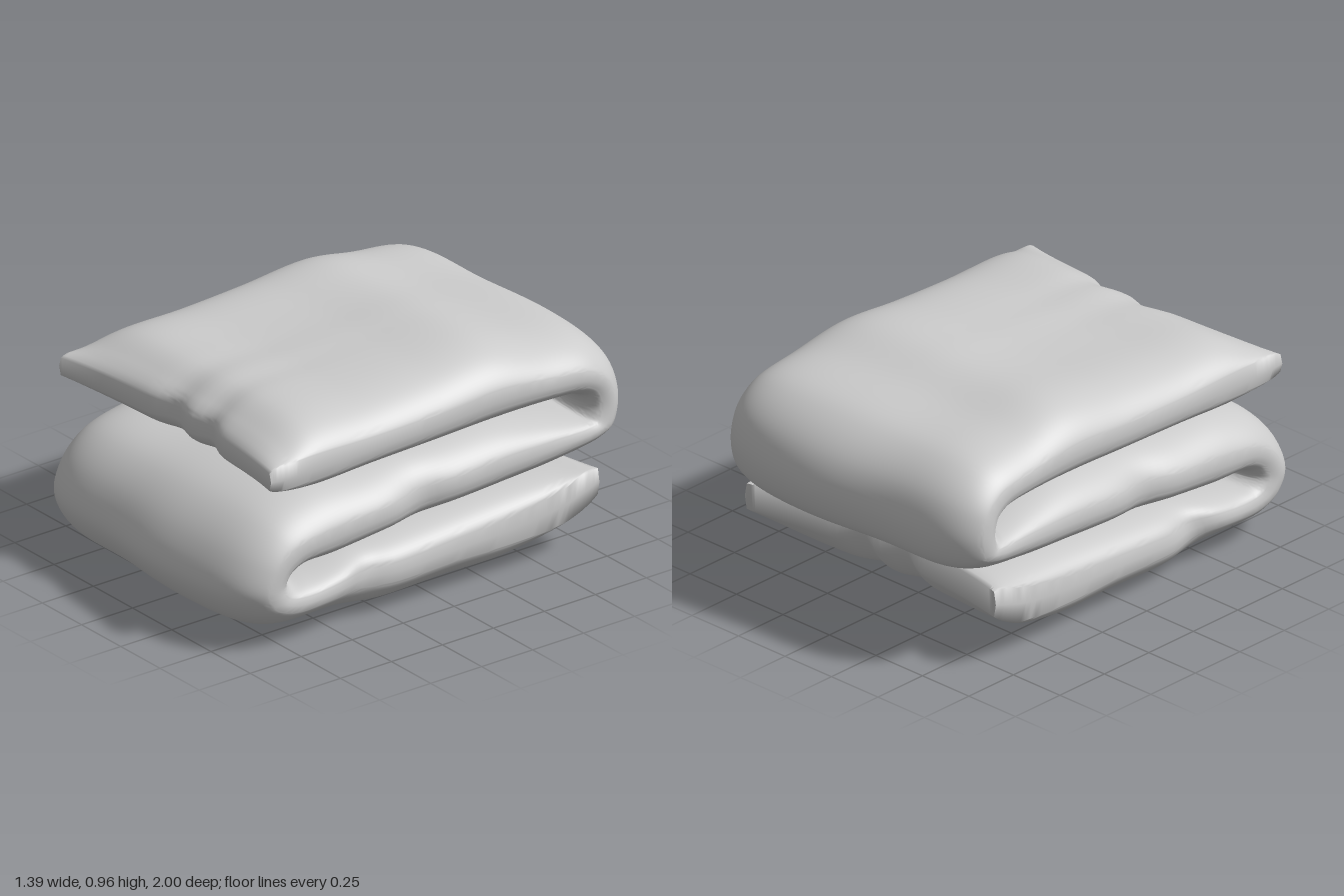
import * as THREE from 'three';
import { toCreasedNormals } from 'three/addons/utils/BufferGeometryUtils.js';

// Stations along the folded quilt: [z, y] of one face, [z, y] of the other face
const STATIONS = [
  // top layer, from its free front hem to the back fold
  [0.84, 0.79, 0.84, 0.70], [0.74, 0.845, 0.74, 0.65], [0.6, 0.905, 0.6, 0.62],
  [0.3, 0.915, 0.3, 0.63], [0, 0.935, 0, 0.637], [-0.3, 0.962, -0.3, 0.645],
  [-0.52, 0.92, -0.55, 0.65], [-0.8, 0.87, -0.68, 0.645],
  // back fold
  [-0.95, 0.75, -0.74, 0.63], [-1, 0.6, -0.76, 0.595], [-0.96, 0.47, -0.74, 0.565],
  [-0.85, 0.41, -0.68, 0.575],
  // middle layer
  [-0.6, 0.37, -0.5, 0.61], [-0.3, 0.355, -0.3, 0.64], [0, 0.345, 0, 0.63],
  [0.25, 0.325, 0.3, 0.61], [0.5, 0.3, 0.6, 0.595], [0.64, 0.305, 0.8, 0.53],
  // front fold
  [0.70, 0.295, 0.94, 0.4], [0.72, 0.275, 1, 0.25], [0.69, 0.255, 0.95, 0.14],
  [0.6, 0.26, 0.83, 0.06],
  // bottom layer, to its free back hem
  [0.4, 0.29, 0.53, 0.04], [0.2, 0.31, 0.25, 0.003], [-0.1, 0.33, -0.05, 0.01],
  [-0.35, 0.345, -0.35, 0.015], [-0.6, 0.355, -0.58, 0.08], [-0.77, 0.355, -0.77, 0.22],
];

const bump = (v, centre, width) => Math.exp(-(((v - centre) / width) ** 2));

function quiltGeometry(steps = 200, across = 56) {
  const face = (c) => new THREE.CatmullRomCurve3(
    STATIONS.map((s) => new THREE.Vector3(0, s[c + 1], s[c])));
  const faceA = face(0), faceB = face(2);
  const positions = [], index = [];
  const ring = 2 * across + 4;

  for (let i = 0; i <= steps; i++) {
    const t = i / steps;
    const a = faceA.getPoint(t), b = faceB.getPoint(t);
    const startHem = Math.exp(-t / 0.04), endHem = Math.exp(-(1 - t) / 0.04);
    const hem = startHem + endHem;
    // the side seam runs nearer the face that lies against another layer
    const turn = THREE.MathUtils.smoothstep(t, 0.38, 0.54);
    const seam = a.clone().lerp(b, 0.5 + (0.1 - 0.2 * turn) * (1 - hem));
    const backFold = bump(t, 0.333, 0.07), frontFold = bump(t, 0.704, 0.07);
    const hemRounding = 0.82 + 0.18 * Math.sqrt(Math.min(1, Math.min(t, 1 - t) / 0.012));
    const halfWidth = 0.665 + 0.012 * Math.sin(Math.PI * t);

    // contact: 0 where the face is exposed, 1 where it lies against another layer
    const add = (u, p, contact, bulge) => {
      const x = u * halfWidth;
      // exposed faces round off towards the sides, touching faces stay flatter
      const side = Math.abs(u);
      const exposed = Math.pow(1 - side ** 6, 0.75), flat = Math.pow(1 - side ** 8, 0.6);
      const puff = (0.22 + 0.78 * THREE.MathUtils.lerp(exposed, flat, contact))
        * (1 - 0.08 * bump(x, -0.2, 0.25) * (1 - contact));
      // hems pull inwards between the corners, with two gathers at the middle
      const inward = 1 - u * u;
      const gather = bump(x, -0.06, 0.08) + bump(x, 0.16, 0.07);
      const k = THREE.MathUtils.lerp(puff, 1, hem) * hemRounding * (1 - 0.3 * startHem * gather);
      const q = seam.clone().lerp(p, bulge ? 0 : k);
      // puckers along the side edges
      const pucker = side ** 6 * (bump(t, 0.53, 0.015) + bump(t, 0.83, 0.015));
      q.x = x - 0.03 * u * pucker + (bulge ? 0.01 * u : 0) - 0.015 * backFold;
      // folds bow outwards just right of the middle
      q.z += 0.035 * backFold * (1 - bump(x, 0.15, 0.35));
      q.z -= 0.025 * frontFold * (1 - bump(x, 0.1, 0.3));
      q.z -= startHem * (0.065 * inward + 0.04 * gather);
      q.z += endHem * (0.08 * inward + 0.05 * gather);
      q.y += endHem * 0.035 * gather;
      positions.push(q.x, q.y, q.z);
    };

    const u = (j) => Math.sin((j / across - 0.5) * Math.PI);
    for (let j = 0; j <= across; j++) add(u(j), a, turn, false);
    add(1, seam, 0, true);
    for (let j = across; j >= 0; j--) add(u(j), b, 1 - turn, false);
    add(-1, seam, 0, true);
  }

  // skin between neighbouring rings
  for (let i = 0; i < steps; i++) {
    for (let j = 0; j < ring; j++) {
      const p = i * ring + j, q = i * ring + (j + 1) % ring;
      index.push(p, q, p + ring, q, q + ring, p + ring);
    }
  }

  // closed hems at both free ends
  const cap = (base, flip) => {
    const tri = (p, q, r) => (flip
      ? index.push(base + p, base + r, base + q)
      : index.push(base + p, base + q, base + r));
    const last = 2 * across + 2;
    for (let j = 0; j < across; j++) {
      tri(j, last - j, j + 1);
      tri(last - j, last - j - 1, j + 1);
    }
    tri(across, across + 2, across + 1);
    tri(last, 0, last + 1);
  };
  cap(0, false);
  cap(steps * ring, true);

  const geometry = new THREE.BufferGeometry();
  geometry.setAttribute('position', new THREE.Float32BufferAttribute(positions, 3));
  geometry.setIndex(index);
  return toCreasedNormals(geometry, 1.4);
}

export function createModel() {
  const group = new THREE.Group();
  group.name = 'foldedBlanket';
  const quilt = new THREE.Mesh(quiltGeometry(), new THREE.MeshStandardMaterial({ color: 0xcccccc }));
  quilt.name = 'quilt';
  group.add(quilt);
  return group;
}
